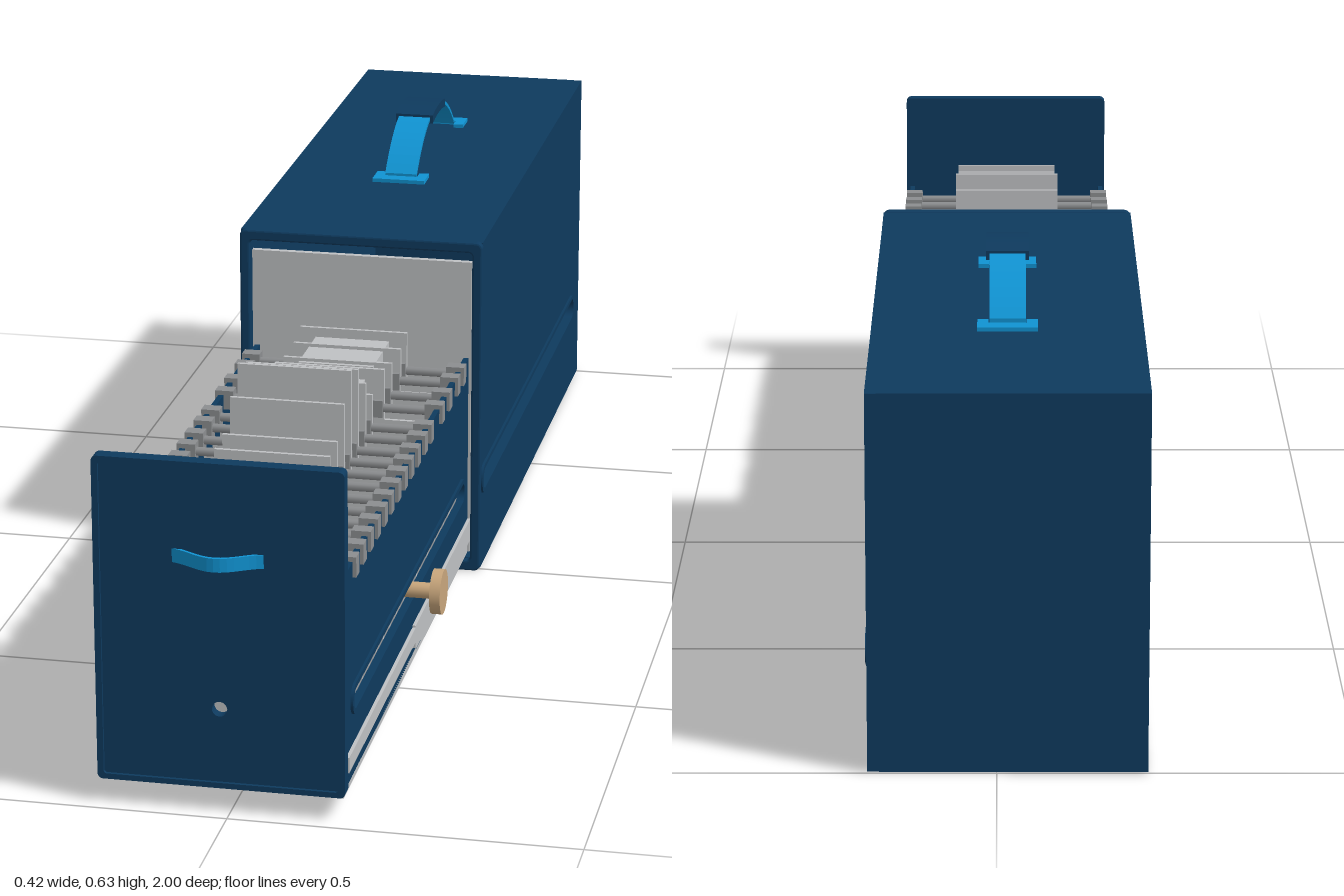
import * as THREE from 'three';

const mat = (name, color) => {
  const m = new THREE.MeshStandardMaterial({ color, side: THREE.DoubleSide });
  m.name = name;
  return m;
};

export function createModel() {
  const navy = mat('navy', 0x0e3a5e);
  const cyan = mat('bright blue', 0x1093d2);
  const light = mat('light grey', 0xbfc1c3);
  const grey = mat('mid grey', 0x8c8e90);
  const tan = mat('tan', 0xc8a67c);
  const root = new THREE.Group();
  root.name = 'fileBox';
  const CX = -0.015; // centre line of the box

  const group = (name) => {
    const g = new THREE.Group();
    g.name = name;
    root.add(g);
    return g;
  };
  const add = (parent, name, geo, material) => {
    const m = new THREE.Mesh(geo, material);
    m.name = name;
    parent.add(m);
    return m;
  };
  // box given by its limits
  const box = (parent, name, material, x0, x1, y0, y1, z0, z1) => {
    const m = add(parent, name, new THREE.BoxGeometry(x1 - x0, y1 - y0, z1 - z0), material);
    m.position.set((x0 + x1) / 2, (y0 + y1) / 2, (z0 + z1) / 2);
    return m;
  };
  const roundRect = (s, x0, x1, y0, y1, r) => {
    s.moveTo(x0 + r, y0);
    s.lineTo(x1 - r, y0);
    s.absarc(x1 - r, y0 + r, r, -Math.PI / 2, 0);
    s.lineTo(x1, y1 - r);
    s.absarc(x1 - r, y1 - r, r, 0, Math.PI / 2);
    s.lineTo(x0 + r, y1);
    s.absarc(x0 + r, y1 - r, r, Math.PI / 2, Math.PI);
    s.lineTo(x0, y0 + r);
    s.absarc(x0 + r, y0 + r, r, Math.PI, Math.PI * 1.5);
    s.closePath();
    return s;
  };
  const rounded = (...a) => roundRect(new THREE.Shape(), ...a);
  const hole = (...a) => roundRect(new THREE.Path(), ...a);
  // side plate drawn in (z, y), its outer face at x
  const sidePlate = (parent, name, shape, x, depth) => {
    const g = new THREE.ExtrudeGeometry(shape, { depth, bevelEnabled: false, curveSegments: 8 });
    g.rotateY(-Math.PI / 2);
    add(parent, name, g, navy).position.x = x;
  };

  // outer case, open at the front, with a slot in its left wall
  const shell = group('case');
  box(shell, 'caseRightWall', navy, -0.208, -0.192, 0.003, 0.545, -1, 0);
  box(shell, 'caseTop', navy, -0.192, 0.162, 0.529, 0.545, -1, 0);
  box(shell, 'caseBottom', navy, -0.192, 0.162, 0.003, 0.019, -1, 0);
  box(shell, 'caseBack', navy, -0.192, 0.162, 0.019, 0.529, -1, -0.984);
  const wall = rounded(-1, 0, 0.003, 0.545, 0.001);
  wall.holes.push(hole(-0.92, -0.004, 0.133, 0.167, 0.0165));
  sidePlate(shell, 'caseLeftWall', wall, 0.178, 0.016);
  const slotRim = rounded(-0.928, 0.006, 0.126, 0.174, 0.0235);
  slotRim.holes.push(hole(-0.92, -0.004, 0.133, 0.167, 0.0165));
  sidePlate(shell, 'caseSlotRim', slotRim, 0.182, 0.005);
  const frame = rounded(-0.208, 0.179, 0.001, 0.547, 0.01);
  frame.holes.push(hole(-0.192, 0.163, 0.018, 0.53, 0.006));
  add(shell, 'caseFrontRim', new THREE.ExtrudeGeometry(frame, {
    depth: 0.009, bevelThickness: 0.003, bevelSize: 0.003, bevelOffset: -0.003, bevelSegments: 2,
  }), navy).position.z = 0;

  // carrying handle
  const handle = group('carryHandle');
  const strapPoint = (t, lift = 0) => {
    const u = t * 2 - 1;
    return [-0.49 + u * 0.17, 0.551 + 0.07 * (1 - Math.abs(u) ** 2.3) + lift];
  };
  const band = (name, material, t0, t1, half, thick, lift) => {
    const pts = [];
    const n = 24;
    for (let i = 0; i <= n; i++) pts.push(strapPoint(t0 + ((t1 - t0) * i) / n, lift + thick));
    for (let i = n; i >= 0; i--) pts.push(strapPoint(t0 + ((t1 - t0) * i) / n, lift));
    const s = new THREE.Shape(pts.map((p) => new THREE.Vector2(...p)));
    const g = new THREE.ExtrudeGeometry(s, { depth: half * 2, bevelEnabled: false });
    g.rotateY(-Math.PI / 2);
    add(handle, name, g, material).position.x = CX + half;
  };
  band('strap', cyan, 0, 1, 0.026, 0.006, -0.002);
  band('grip', navy, 0.34, 0.66, 0.031, 0.014, -0.006);
  for (const s of [-1, 1]) {
    const z = -0.495 + s * 0.18;
    box(handle, 'handleFoot', cyan, CX - 0.043, CX + 0.043, 0.545, 0.551, z - 0.012 + s * 0.005, z + 0.012 + s * 0.005);
    for (const k of [-1, 1]) {
      const x = CX + k * 0.035;
      box(handle, 'handleFootArm', cyan, x - 0.008, x + 0.008, 0.545, 0.551, z - 0.012 - s * 0.015, z + 0.012 - s * 0.015);
    }
  }

  // pulled-out drawer
  const drawer = group('drawer');
  box(drawer, 'drawerBottom', light, -0.187, 0.157, 0.028, 0.04, 0, 0.96);
  box(drawer, 'floorStrip', navy, -0.045, 0.012, 0.04, 0.044, 0, 0.958);
  box(drawer, 'drawerBackPlate', light, -0.19, 0.161, 0.03, 0.512, -0.008, 0.002);
  box(drawer, 'drawerRightWall', navy, -0.187, -0.179, 0.036, 0.355, 0, 0.96);
  const side = rounded(0, 0.96, 0.036, 0.355, 0.001);
  side.holes.push(hole(0.05, 0.905, 0.136, 0.166, 0.0145));
  sidePlate(drawer, 'drawerLeftWall', side, 0.157, 0.008);
  const rim = rounded(0.042, 0.913, 0.128, 0.174, 0.0225);
  rim.holes.push(hole(0.05, 0.905, 0.136, 0.166, 0.0145));
  sidePlate(drawer, 'drawerSlotRim', rim, 0.161, 0.005);
  for (const [x0, x1] of [[-0.192, -0.187], [0.157, 0.162]]) {
    box(drawer, 'slideRail', light, x0, x1, 0.06, 0.083, 0.46, 0.945);
    box(drawer, 'wideSlideRail', light, x0, x1, 0.05, 0.086, 0.002, 0.46);
  }
  box(drawer, 'innerRail', grey, -0.148, -0.138, 0.04, 0.325, 0.93, 0.945);
  box(drawer, 'guideBar', grey, -0.146, -0.138, 0.325, 0.333, 0.005, 0.95);

  // front panel with a peep hole and a raised edge
  const panel = rounded(-0.189, 0.162, 0.037, 0.514, 0.008);
  const peep = new THREE.Path();
  peep.absarc(CX, 0.153, 0.011, 0, Math.PI * 2);
  panel.holes.push(peep);
  add(drawer, 'drawerFront', new THREE.ExtrudeGeometry(panel, { depth: 0.016, bevelEnabled: false }), navy).position.z = 0.957;
  const edge = rounded(-0.19, 0.163, 0.036, 0.515, 0.008);
  edge.holes.push(hole(-0.181, 0.153, 0.044, 0.506, 0.004));
  add(drawer, 'drawerFrontEdge', new THREE.ExtrudeGeometry(edge, { depth: 0.021, bevelEnabled: false }), navy).position.z = 0.957;

  // bowed pull
  const bow = [];
  for (let i = 0; i <= 16; i++) {
    const u = i / 8 - 1;
    bow.push(new THREE.Vector2(CX + u * 0.073, 0.972 + 0.028 * (0.5 + 0.5 * Math.cos(u * Math.PI))));
  }
  const back = bow.map((p) => new THREE.Vector2(p.x, p.y - 0.005)).reverse();
  const pull = new THREE.ExtrudeGeometry(new THREE.Shape([...bow, ...back]), { depth: 0.02, bevelEnabled: false });
  pull.rotateX(Math.PI / 2);
  add(drawer, 'drawerPull', pull, cyan).position.y = 0.386;

  // clamp knob riding in the slot
  const knob = group('clampKnob');
  const turned = (name, r, x0, x1, seg) => {
    const g = new THREE.CylinderGeometry(r, r, x1 - x0, seg);
    g.rotateZ(Math.PI / 2);
    add(knob, name, g, tan).position.set((x0 + x1) / 2, 0.15, 0.475);
  };
  turned('knobShaft', 0.012, -0.02, 0.195, 16);
  turned('knobDisc', 0.034, 0.191, 0.207, 24);

  // hanging cards: [z, top height]
  const files = group('files');
  const cards = [
    [0.06, 0.41], [0.11, 0.4], [0.18, 0.4], [0.24, 0.41], [0.33, 0.4], [0.38, 0.435],
    [0.435, 0.475], [0.485, 0.49], [0.535, 0.455], [0.585, 0.415], [0.635, 0.41],
    [0.685, 0.41], [0.735, 0.41], [0.785, 0.41], [0.835, 0.41], [0.885, 0.41],
  ];
  for (const [z, top] of cards) {
    box(files, 'cardBody', light, -0.165, 0.138, 0.07, 0.33, z - 0.003, z + 0.003);
    box(files, 'cardTab', light, -0.1, 0.07, 0.33, top, z - 0.003, z + 0.003);
    const rod = new THREE.CylinderGeometry(0.007, 0.007, 0.345, 8);
    rod.rotateZ(Math.PI / 2);
    add(files, 'hangerRod', rod, grey).position.set(CX, 0.348, z);
    // clips at the ends and collars beside the tab
    for (const s of [-1, 1]) {
      const e = CX + s * 0.163;
      box(files, 'hangerClip', grey, e - 0.014, e + 0.014, 0.332, 0.362, z - 0.011, z + 0.011);
      const c = CX + s * 0.075;
      box(files, 'hangerCollar', grey, c - 0.009, c + 0.009, 0.335, 0.362, z - 0.01, z + 0.01);
    }
  }
  // thick bundles
  box(files, 'rearBundle', light, -0.075, 0.042, 0.2, 0.395, 0.05, 0.19);
  box(files, 'middleBundle', light, -0.075, 0.042, 0.2, 0.395, 0.25, 0.37);
  box(files, 'frontBundle', grey, -0.075, 0.042, 0.2, 0.418, 0.375, 0.415);
  return root;
}
